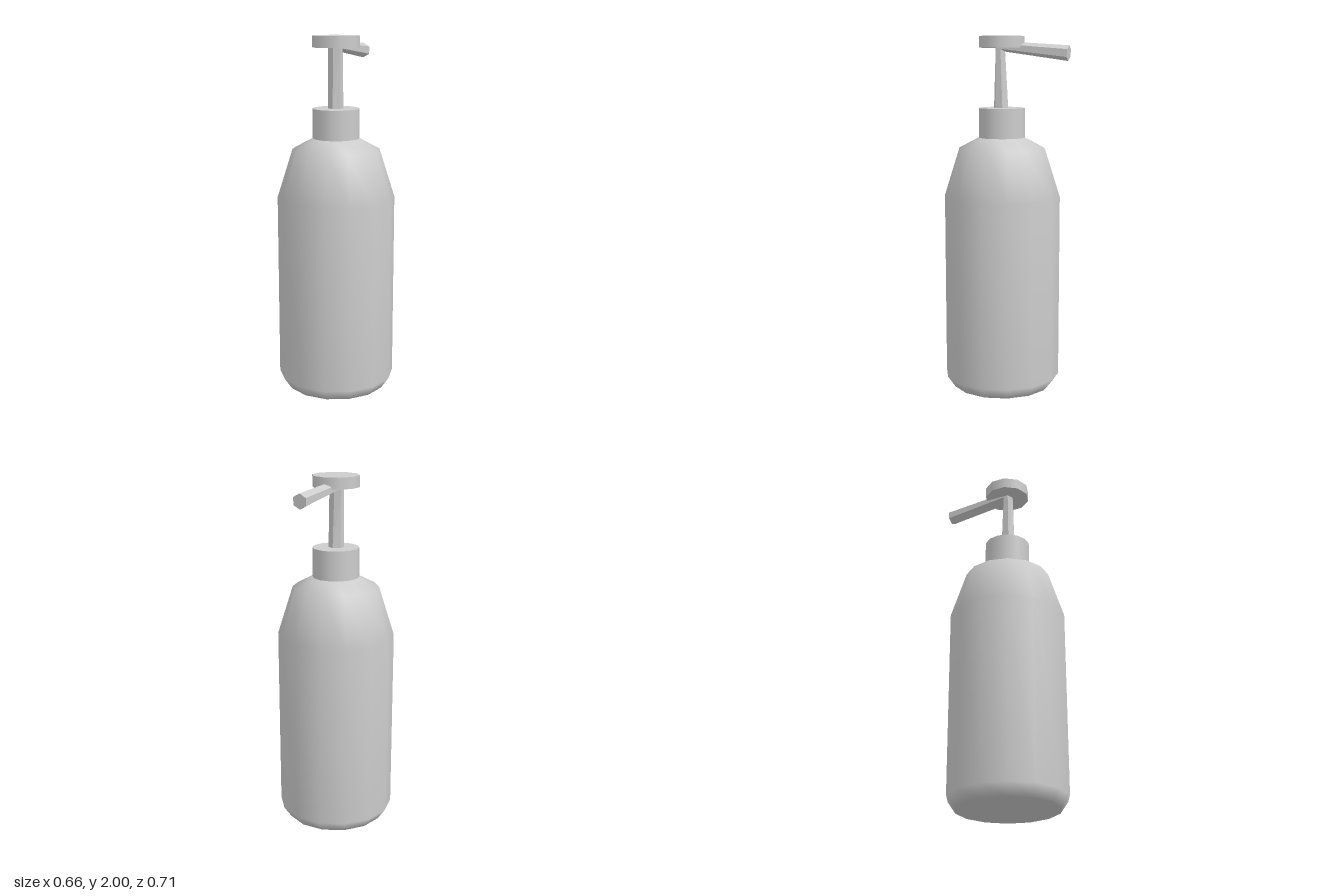
import * as THREE from 'three';

const CENTRE_Z = 0.033;

// Six-sided tube: each section gives the [y, z] of its outer and inner corner
function bentTube(sections, halfWidth) {
  const rings = sections.map(([outer, inner]) => {
    const ring = [];
    for (let i = 0; i < 6; i++) {
      const a = (i * Math.PI) / 3;
      const t = (1 - Math.cos(a)) / 2;
      ring.push([
        (halfWidth * Math.sin(a)) / Math.sin(Math.PI / 3),
        THREE.MathUtils.lerp(outer[0], inner[0], t),
        THREE.MathUtils.lerp(outer[1], inner[1], t),
      ]);
    }
    return ring;
  });
  const positions = [];
  const tri = (a, b, c) => positions.push(...a, ...b, ...c);
  for (let r = 0; r < rings.length - 1; r++) {
    for (let i = 0; i < 6; i++) {
      const j = (i + 1) % 6;
      tri(rings[r][i], rings[r][j], rings[r + 1][j]);
      tri(rings[r][i], rings[r + 1][j], rings[r + 1][i]);
    }
  }
  // Closed spout end
  const end = rings[rings.length - 1];
  for (let i = 1; i < 5; i++) tri(end[0], end[i], end[i + 1]);
  const geometry = new THREE.BufferGeometry();
  geometry.setAttribute('position', new THREE.Float32BufferAttribute(positions, 3));
  geometry.computeVertexNormals();
  return geometry;
}

export function createModel() {
  const group = new THREE.Group();
  const grey = new THREE.MeshStandardMaterial({ color: 0xcccccc });
  grey.name = 'lightGrey';

  const add = (name, geometry, y = 0, z = 0) => {
    const mesh = new THREE.Mesh(geometry, grey);
    mesh.name = name;
    mesh.position.set(0, y, z);
    group.add(mesh);
  };

  // Bottle with bevelled foot and sloping shoulders
  const profile = [
    [0, 0], [0.285, 0], [0.33, 0.065], [0.33, 1.105], [0.243, 1.38], [0.13, 1.44],
  ].map(([r, y]) => new THREE.Vector2(r, y));
  add('bottle', new THREE.LatheGeometry(profile, 14, Math.PI / 2), 0, CENTRE_Z);

  // Collar around the neck
  add('collar', new THREE.CylinderGeometry(0.131, 0.131, 0.167, 14, 1, false, Math.PI / 2), 1.5215, CENTRE_Z);

  // Stem that bends back into the spout
  add('stemAndSpout', bentTube([
    [[1.6, 0.08], [1.6, -0.005]],
    [[1.975, 0.068], [1.915, 0.014]],
    [[1.948, -0.356], [1.864, -0.35]],
  ], 0.0375));

  // Push button
  add('pumpButton', new THREE.CylinderGeometry(0.131, 0.131, 0.063, 10), 1.9685, CENTRE_Z);

  return group;
}
